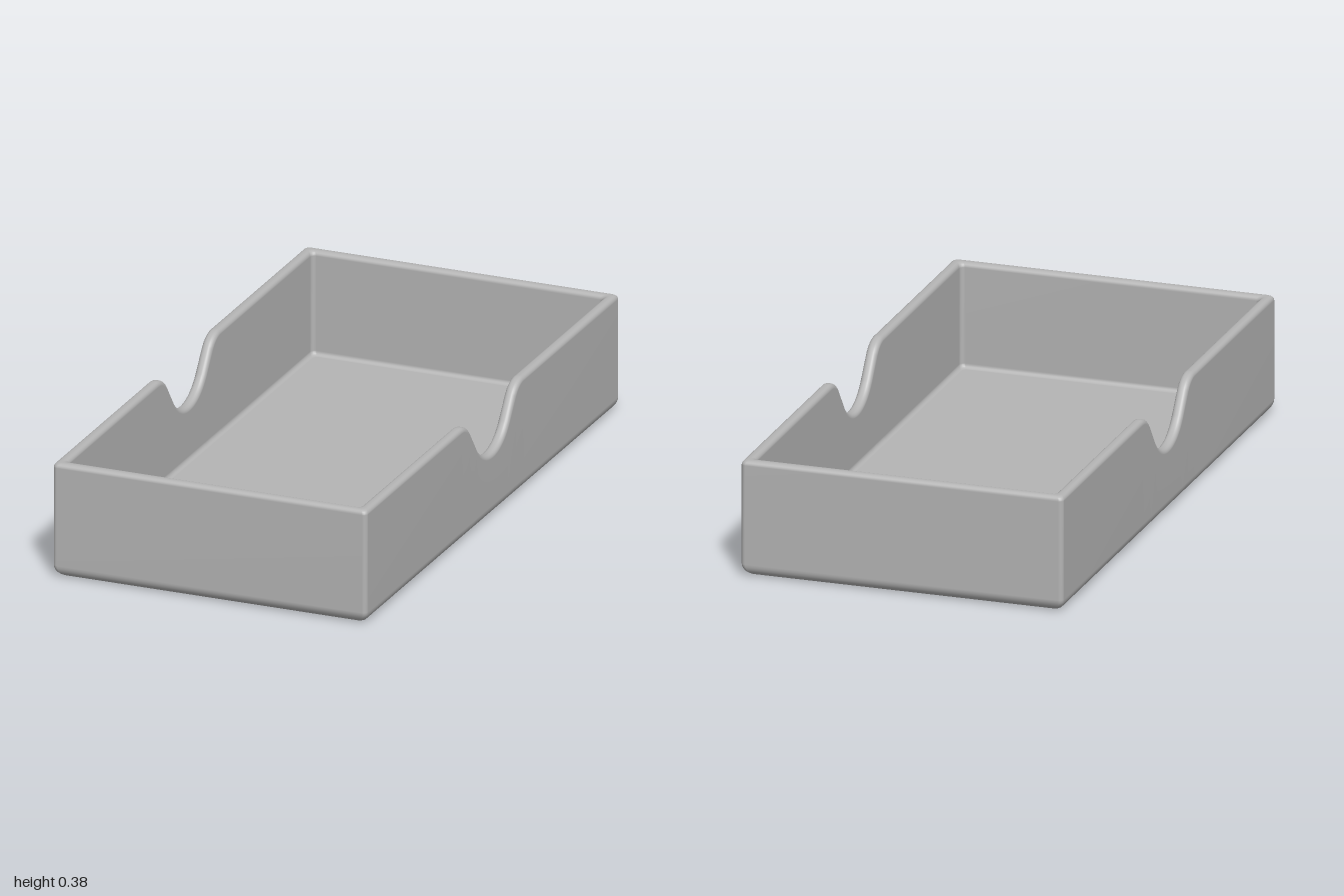
import * as THREE from 'three';

const W = 0.525, L = 1, H = 0.377;      // half width, half length, height
const WALL = 0.037, FLOOR = 0.035;      // thicknesses
const CORNER = 0.015;                   // vertical edge rounding
const BASE_R = 0.04, RIM_R = 0.015, INNER_R = 0.015;
const HALF_PI = Math.PI / 2;

// Thumb notch in the side walls: lower arc, straight slope, rounded shoulder.
// Each point holds z, y and the outward direction of the cut edge.
function notchProfile() {
  const slope = 0.937, low = 0.15, shoulder = 0.093, bottom = 0.21, end = 0.246;
  const half = [];
  for (let i = 0; i <= 14; i++) {
    const a = slope * i / 14;
    half.push({ z: low * Math.sin(a), y: bottom + low * (1 - Math.cos(a)), nz: -Math.sin(a), ny: Math.cos(a) });
  }
  for (let i = 0; i <= 10; i++) {
    const a = slope * (1 - i / 10);
    half.push({ z: end - shoulder * Math.sin(a), y: H - shoulder * (1 - Math.cos(a)), nz: -Math.sin(a), ny: Math.cos(a) });
  }
  const mirrored = half.slice(1).reverse().map(p => ({ ...p, z: -p.z, nz: -p.nz }));
  return [...mirrored, ...half];
}

// Rounded rectangle in plan, inset from the outside, with the rim edge at every point
function planLoop(inset, notch) {
  const points = [];
  const corner = (sx, sz, start) => {
    for (let i = 0; i <= 5; i++) {
      const a = start + HALF_PI * i / 5;
      points.push({
        x: sx * (W - inset - CORNER) + CORNER * Math.cos(a),
        z: sz * (L - inset - CORNER) + CORNER * Math.sin(a),
        y: H, nz: 0, ny: 1,
      });
    }
  };
  notch.forEach(p => points.push({ ...p, x: W - inset }));
  corner(1, 1, 0);
  corner(-1, 1, HALF_PI);
  [...notch].reverse().forEach(p => points.push({ ...p, x: inset - W }));
  corner(-1, -1, Math.PI);
  corner(1, -1, 3 * HALF_PI);
  return points;
}

// Wall section from the underside, up the outside, over the rim and down to the floor.
// A ring has either a fixed height y or a drop below the rim.
function wallSection() {
  const rings = [];
  const arc = (n, fn) => {
    for (let i = 0; i <= n; i++) {
      const a = HALF_PI * i / n;
      rings.push(fn(1 - Math.sin(a), 1 - Math.cos(a)));
    }
  };
  arc(7, (s, c) => ({ inset: BASE_R * s, y: BASE_R * c }));
  arc(5, (s, c) => ({ inset: RIM_R * c, drop: RIM_R * s }));
  arc(5, (s, c) => ({ inset: WALL - RIM_R * s, drop: RIM_R * c }));
  arc(5, (s, c) => ({ inset: WALL + INNER_R * c, y: FLOOR + INNER_R * s }));
  return rings;
}

function trayGeometry() {
  const notch = notchProfile();
  const rings = wallSection();
  const positions = [], indices = [];
  let n = 0;
  for (const ring of rings) {
    const loop = planLoop(ring.inset, notch);
    n = loop.length;
    for (const p of loop) {
      if (ring.drop === undefined) positions.push(p.x, ring.y, p.z);
      else positions.push(p.x, p.y - ring.drop * p.ny, p.z - ring.drop * p.nz);
    }
  }
  for (let i = 0; i < rings.length - 1; i++) {
    for (let j = 0; j < n; j++) {
      const k = (j + 1) % n;
      const a = i * n + j, b = a + n, c = i * n + k, d = c + n;
      indices.push(a, b, c, b, d, c);
    }
  }
  // Underside and inner floor
  const under = positions.length / 3, inner = under + 1, last = (rings.length - 1) * n;
  positions.push(0, 0, 0, 0, FLOOR, 0);
  for (let j = 0; j < n; j++) {
    const k = (j + 1) % n;
    indices.push(under, j, k, inner, last + k, last + j);
  }
  const geometry = new THREE.BufferGeometry();
  geometry.setAttribute('position', new THREE.Float32BufferAttribute(positions, 3));
  geometry.setIndex(indices);
  geometry.computeVertexNormals();
  return geometry;
}

export function createModel() {
  const group = new THREE.Group();
  group.name = 'openTray';
  const grey = new THREE.MeshStandardMaterial({ color: 0xb4b4b4 });
  grey.name = 'light grey';
  const tray = new THREE.Mesh(trayGeometry(), grey);
  tray.name = 'notchedTray';
  group.add(tray);
  return group;
}
